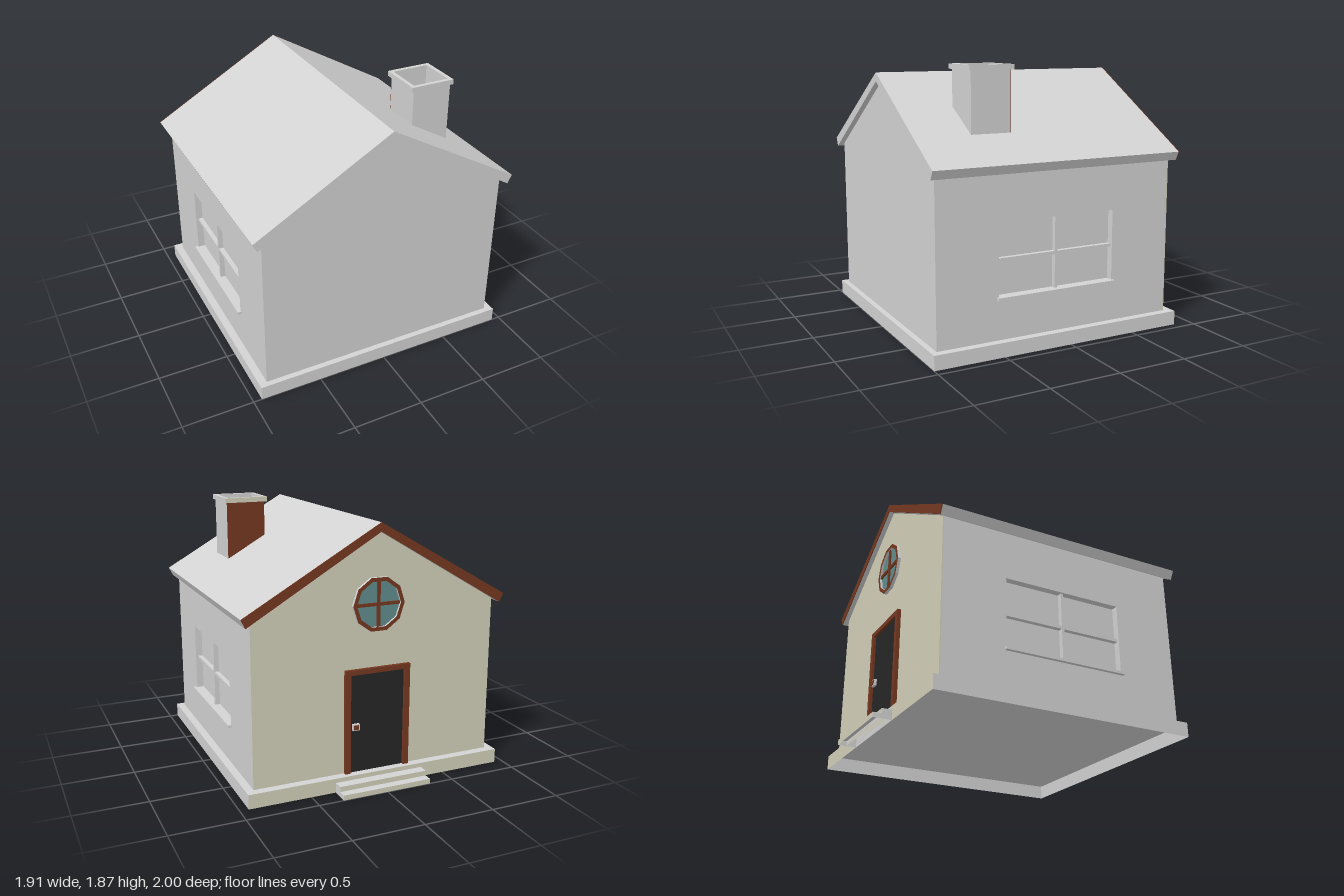
import * as THREE from 'three';

const mat = (name, color, side = THREE.FrontSide) => {
  const m = new THREE.MeshStandardMaterial({ color, side });
  m.name = name;
  return m;
};

export function createModel() {
  const grey = mat('plainGrey', 0xd2d2d2, THREE.DoubleSide);
  const cream = mat('creamPlaster', 0xd2d0b9, THREE.DoubleSide);
  const brown = mat('brownWood', 0x753820);
  const black = mat('blackDoor', 0x262626);
  const teal = mat('tealGlass', 0x618c8c);

  const house = new THREE.Group();
  house.name = 'house';

  const add = (name, geo, material) => {
    const mesh = new THREE.Mesh(geo, material);
    mesh.name = name;
    house.add(mesh);
    return mesh;
  };
  // Box given by its limits on each axis
  const box = (name, material, [x0, x1], [y0, y1], [z0, z1]) => {
    const geo = new THREE.BoxGeometry(x1 - x0, y1 - y0, z1 - z0);
    geo.translate((x0 + x1) / 2, (y0 + y1) / 2, (z0 + z1) / 2);
    return add(name, geo, material);
  };
  const shapeOf = (pts) => new THREE.Shape(pts.map(([x, y]) => new THREE.Vector2(x, y)));
  const rect = (x0, x1, y0, y1) => [[x0, y0], [x1, y0], [x1, y1], [x0, y1]];
  const extrude = (shape, depth) => new THREE.ExtrudeGeometry(shape, { depth, bevelEnabled: false });
  // Profile in x and y, extruded from z0 to z1
  const slab = (name, material, shape, z0, z1) =>
    add(name, extrude(shape, z1 - z0).translate(0, 0, z0), material);
  // Box open below, with a cream back face
  const openBox = (name, xs, ys, zs) => {
    const mesh = box(name, [grey, grey, grey, grey, grey, cream], xs, ys, zs);
    mesh.geometry.groups = mesh.geometry.groups.filter((g) => g.materialIndex !== 3);
  };

  // Plinth and steps
  openBox('plinth', [-0.94, 0.94], [0, 0.1], [-0.87, 1]);
  openBox('upperStep', [-0.325, 0.325], [0, 0.07], [-0.94, -0.87]);
  openBox('lowerStep', [-0.325, 0.325], [0, 0.035], [-1, -0.94]);

  // House body and gable walls, tucked slightly into the roof
  const gable = (w) => {
    const eave = 1.75 - 0.589 * w;
    return shapeOf([[-w, 0.1], [w, 0.1], [w, eave], [0, 1.75], [-w, eave]]);
  };
  slab('houseCore', grey, gable(0.835), -0.802, 0.952);
  slab('plainGableWall', grey, gable(0.885), 0.952, 0.96);
  slab('doorGableWall', cream, gable(0.885), -0.81, -0.802);

  // Side walls with a recessed window, cross bars and a sill
  const wall = shapeOf(rect(-0.952, 0.802, 0.1, 1.225));
  wall.holes.push(shapeOf(rect(-0.52, 0.35, 0.385, 0.88)));
  for (const s of [1, -1]) {
    const side = s > 0 ? 'left' : 'right';
    const span = (a, b) => (s > 0 ? [a, b] : [-b, -a]);
    const geo = extrude(wall, 0.05).rotateY(Math.PI / 2);
    add(side + 'Wall', geo.translate(s > 0 ? 0.835 : -0.885, 0, 0), grey);
    box(side + 'WindowUpright', grey, span(0.834, 0.87), [0.385, 0.88], [0.075, 0.095]);
    box(side + 'WindowCrossbar', grey, span(0.834, 0.868), [0.62, 0.642], [-0.35, 0.52]);
    box(side + 'WindowSill', grey, span(0.834, 0.91), [0.37, 0.39], [-0.365, 0.535]);
  }

  // Roof and its painted edge board
  const roof = shapeOf([[-0.955, 1.255], [-0.925, 1.195], [0, 1.74],
    [0.925, 1.195], [0.955, 1.255], [0, 1.8]]);
  slab('roof', grey, roof, -0.845, 1);
  slab('roofEdge', brown, roof, -0.85, -0.845);

  // Hollow chimney with a cap
  const ring = (name, outer, inner, y0, y1) => {
    const shape = shapeOf(outer);
    shape.holes.push(shapeOf(inner));
    add(name, extrude(shape, y1 - y0).rotateX(-Math.PI / 2).translate(0, y0, 0), grey);
  };
  const flue = rect(0.387, 0.652, -0.592, -0.328);
  ring('chimney', rect(0.38, 0.665, -0.605, -0.319), flue, 1.4, 1.83);
  ring('chimneyCap', rect(0.36, 0.68, -0.62, -0.304), flue, 1.83, 1.865);
  box('chimneyFloor', grey, [0.385, 0.655], [1.4, 1.6], [0.326, 0.595]);
  box('chimneyFace', brown, [0.38, 0.665], [1.4, 1.83], [0.315, 0.319]);
  box('chimneyCapFace', cream, [0.36, 0.68], [1.83, 1.865], [0.3, 0.304]);

  // Door with frame and handle
  const frame = shapeOf([[-0.24, 0.1], [-0.2, 0.1], [-0.2, 0.795], [0.2, 0.795],
    [0.2, 0.1], [0.24, 0.1], [0.24, 0.83], [-0.24, 0.83]]);
  slab('doorFrame', brown, frame, -0.836, -0.81);
  box('door', black, [-0.2, 0.2], [0.1, 0.795], [-0.817, -0.81]);
  box('handlePlate', grey, [0.135, 0.185], [0.405, 0.45], [-0.836, -0.817]);
  box('handleKnob', brown, [0.142, 0.178], [0.412, 0.443], [-0.841, -0.836]);

  // Ten-sided round window
  const cy = 1.26;
  const decagon = (r) => shapeOf(Array.from({ length: 10 }, (_, i) => {
    const a = ((i + 0.5) / 10) * Math.PI * 2;
    return [Math.sin(a) * r, cy - Math.cos(a) * r];
  }));
  const rim = decagon(0.188);
  rim.holes.push(decagon(0.16));
  slab('roundWindowFrame', [brown, grey], rim, -0.832, -0.81);
  slab('roundWindowGlass', teal, decagon(0.162), -0.816, -0.81);
  box('roundWindowUpright', brown, [-0.011, 0.011], [cy - 0.155, cy + 0.155], [-0.828, -0.815]);
  box('roundWindowCrossbar', brown, [-0.155, 0.155], [cy - 0.011, cy + 0.011], [-0.827, -0.815]);

  return house;
}
